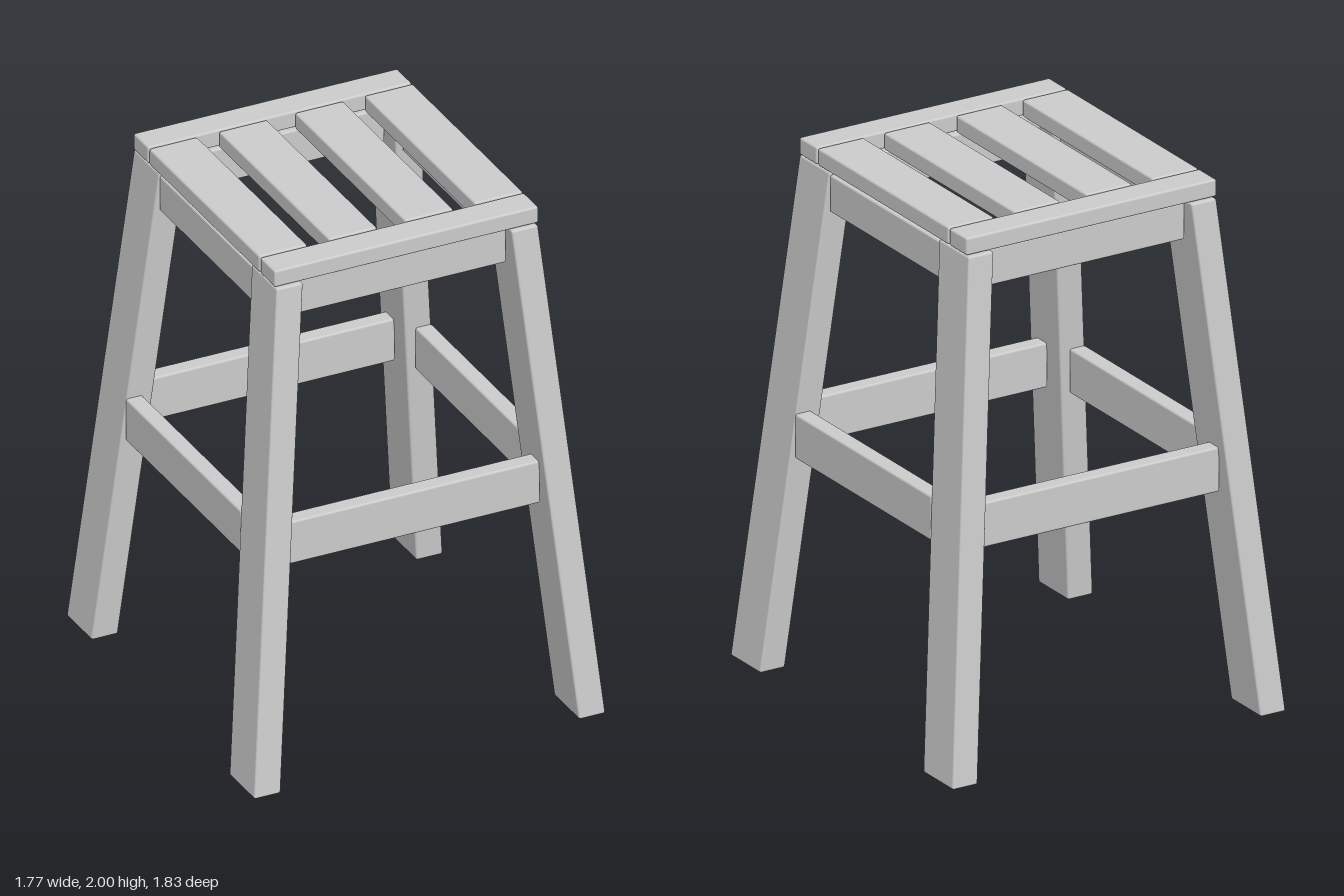
import * as THREE from 'three';
import { RoundedBoxGeometry } from 'three/addons/geometries/RoundedBoxGeometry.js';

export function createModel() {
  const model = new THREE.Group();
  model.name = 'slattedStool';
  const material = new THREE.MeshStandardMaterial({ color: 0xcccccc });

  // Softly rounded board, given by its size and centre
  function board(name, w, h, d, x, y, z) {
    const mesh = new THREE.Mesh(new RoundedBoxGeometry(w, h, d, 2, 0.008), material);
    mesh.name = name;
    mesh.position.set(x, y, z);
    model.add(mesh);
    return mesh;
  }

  // Seat: four slats between two end rails
  const seatY = 1.967, seatH = 0.066;
  for (const x of [-0.425, -0.15, 0.15, 0.425]) {
    board('seatSlat', 0.19, seatH, 0.866, x, seatY, 0);
  }
  for (const s of [-1, 1]) {
    board(s > 0 ? 'frontSeatRail' : 'backSeatRail', 1.04, seatH, 0.115, 0, seatY, s * 0.498);
  }

  // Splayed legs: sheared so that tops and feet stay level
  const legH = 1.93, topC = 0.463, footC = 0.64;
  for (const sx of [-1, 1]) {
    for (const sz of [-1, 1]) {
      const leg = board((sz > 0 ? 'front' : 'back') + (sx > 0 ? 'Left' : 'Right') + 'Leg',
        0.104, legH, 0.2, sx * (topC + footC) / 2, legH / 2, sz * (topC + footC) / 2);
      const k = (topC - footC) / legH;
      leg.geometry.applyMatrix4(new THREE.Matrix4().set(
        1, sx * k, 0, 0,
        0, 1, 0, 0,
        0, sz * k, 1, 0,
        0, 0, 0, 1));
    }
  }

  // Aprons under the seat and stretchers halfway down, reaching between the legs
  const t = 0.065;
  const levels = [
    { part: 'Apron', y: 1.849, h: 0.142, outer: 0.511, halfX: 0.415, halfZ: 0.369 },
    { part: 'Stretcher', y: 0.915, h: 0.17, outer: 0.603, halfX: 0.503, halfZ: 0.453 },
  ];
  for (const { part, y, h, outer, halfX, halfZ } of levels) {
    for (const s of [-1, 1]) {
      const c = s * (outer - t / 2);
      board((s > 0 ? 'front' : 'back') + part, 2 * halfX, h, t, 0, y, c);
      board((s > 0 ? 'left' : 'right') + part, t, h, 2 * halfZ, c, y, 0);
    }
  }

  // The whole stool stands turned on the floor
  model.rotation.y = THREE.MathUtils.degToRad(18.4);
  const root = new THREE.Group();
  root.name = 'stool';
  root.add(model);
  return root;
}
